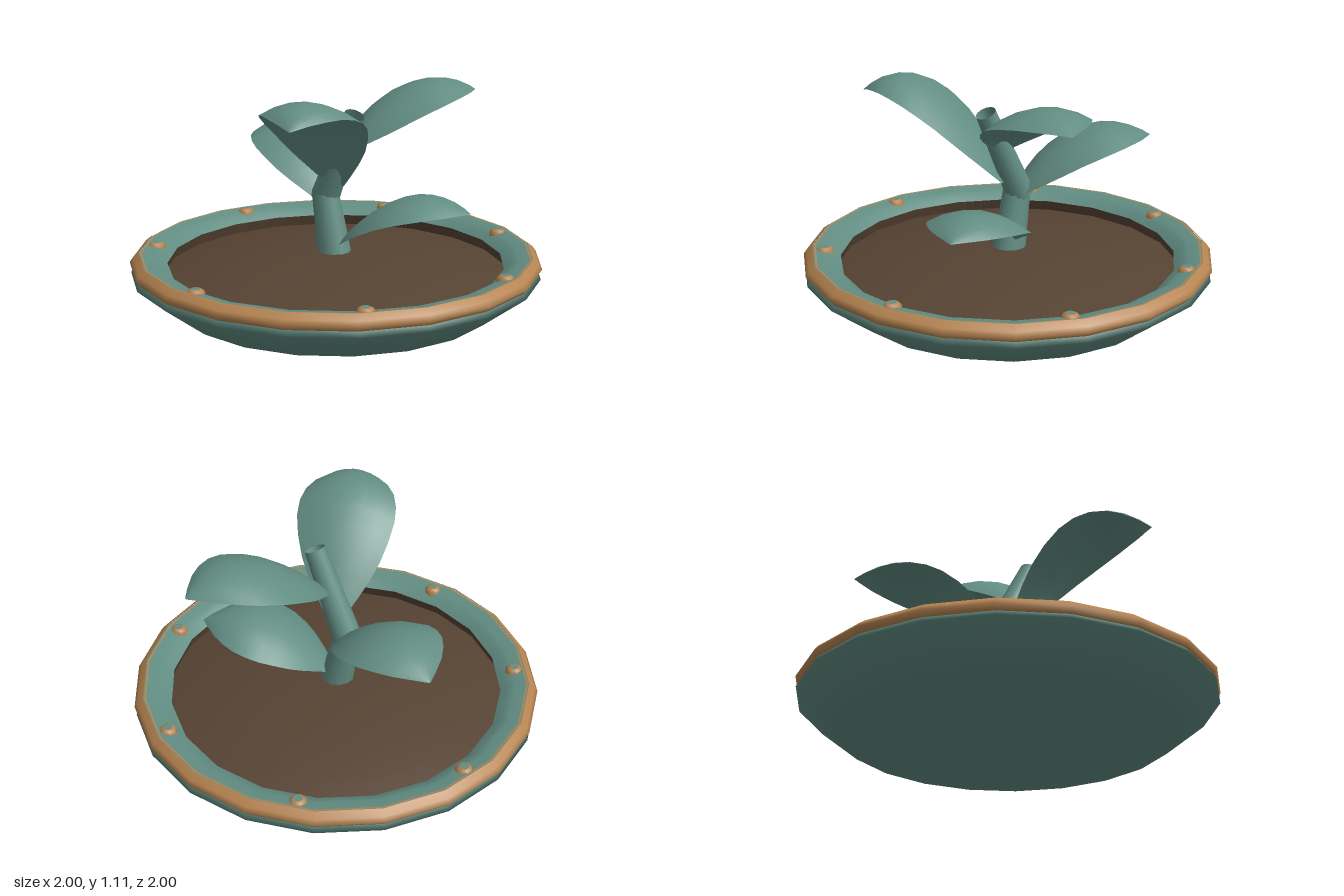
import * as THREE from 'three';

const teal = new THREE.MeshStandardMaterial({ color: 0x628d83, side: THREE.DoubleSide });
teal.name = 'teal';
const copper = new THREE.MeshStandardMaterial({ color: 0xb58350 });
copper.name = 'copper';
const brown = new THREE.MeshStandardMaterial({ color: 0x564333, side: THREE.DoubleSide });
brown.name = 'soil brown';

const V = (x, y, z) => new THREE.Vector3(x, y, z);

function add(parent, name, geometry, material) {
  const mesh = new THREE.Mesh(geometry, material);
  mesh.name = name;
  parent.add(mesh);
  return mesh;
}

function lathe(points, sides = 20) {
  return new THREE.LatheGeometry(points.map(([r, y]) => new THREE.Vector2(r, y)), sides);
}

// Open tapered tube between two points
function addStem(parent, name, a, b, r0, r1) {
  const stem = add(parent, name, new THREE.CylinderGeometry(r1, r0, a.distanceTo(b), 12, 1, true), teal);
  stem.position.copy(a).lerp(b, 0.5);
  stem.quaternion.setFromUnitVectors(V(0, 1, 0), b.clone().sub(a).normalize());
}

// Leaf: an arched midrib with a pointed outline and drooping edges
function leafGeometry(base, tip, y1, y2) {
  const rows = 12, cols = 6;
  const width = new THREE.SplineCurve(
    [[0, 0.035], [0.1, 0.105], [0.26, 0.19], [0.48, 0.24], [0.68, 0.218], [0.86, 0.128], [1, 0.004]]
      .map(([t, w]) => new THREE.Vector2(t, w)));
  const rib = new THREE.CubicBezierCurve3(
    base, base.clone().lerp(tip, 1 / 3).setY(y1), base.clone().lerp(tip, 2 / 3).setY(y2), tip);
  const side = V(tip.z - base.z, 0, base.x - tip.x).normalize();
  const positions = [], index = [];
  for (let i = 0; i <= rows; i++) {
    const { x: t, y: w } = width.getPoint(i / rows);
    const centre = rib.getPoint(Math.min(1, t));
    for (let j = 0; j <= cols; j++) {
      const s = (j / cols) * 2 - 1;
      const p = centre.clone().addScaledVector(side, s * w);
      positions.push(p.x, p.y - s * s * w * 0.33, p.z);
      if (i < rows && j < cols) {
        const a = i * (cols + 1) + j, b = a + cols + 1;
        index.push(a, b, a + 1, b, b + 1, a + 1);
      }
    }
  }
  const geometry = new THREE.BufferGeometry();
  geometry.setAttribute('position', new THREE.Float32BufferAttribute(positions, 3));
  geometry.setIndex(index);
  geometry.computeVertexNormals();
  return geometry;
}

export function createModel() {
  const model = new THREE.Group();
  model.name = 'pottedPlant';

  // Shallow dish, its rounded lip, the copper band round the edge and a thin trim line
  add(model, 'dish', lathe([[0, 0.005], [0.02, 0.005], [0.79, 0.05], [0.995, 0.21], [0.975, 0.24]]), teal);
  add(model, 'rimBand', lathe([[0.97, 0.235], [0.982, 0.236], [1, 0.26], [0.985, 0.282], [0.955, 0.305]]), copper);
  add(model, 'lip', lathe([[0.957, 0.302], [0.89, 0.292], [0.855, 0.275], [0.82, 0.25]]), teal);
  add(model, 'trimLine', lathe([[0.95, 0.303], [0.942, 0.302]]), copper);

  // Domed soil with its inner wall
  add(model, 'innerWall', lathe([[0.82, 0.25], [0.838, 0.195]]), brown);
  add(model, 'soil', lathe([[0.838, 0.195], [0.7, 0.228], [0.5, 0.26], [0.25, 0.284], [0, 0.292]]), brown);

  // Studs round the lip
  for (let i = 0; i < 7; i++) {
    const angle = (i / 7) * Math.PI * 2;
    const stud = new THREE.Group();
    stud.name = 'stud';
    stud.position.set(Math.cos(angle) * 0.892, 0.275, Math.sin(angle) * 0.892);
    add(stud, 'studRing', lathe([[0.044, 0], [0.042, 0.018], [0.034, 0.03], [0.022, 0.036]], 8), copper);
    add(stud, 'studCentre', lathe([[0.022, 0.036], [0, 0.036]], 8), teal);
    model.add(stud);
  }

  // Bent stem
  addStem(model, 'lowerStem', V(-0.005, 0.26, 0), V(-0.065, 0.57, -0.01), 0.083, 0.066);
  addStem(model, 'upperStem', V(-0.075, 0.545, -0.02), V(0.125, 0.98, 0.04), 0.072, 0.05);

  // Leaves: base, tip and the two heights that shape the arch
  const leaves = [
    ['frontLeaf', V(0.01, 0.63, 0.01), V(0.2, 1.02, 0.72), 1.03, 1.25],
    ['backLeaf', V(0.05, 0.8, 0.0), V(0.44, 1.04, -0.62), 1.07, 1.2],
    ['rightLeaf', V(-0.05, 0.54, 0.0), V(-0.63, 0.78, -0.43), 0.84, 0.945],
    ['leftLeaf', V(0.02, 0.335, 0.0), V(0.65, 0.53, -0.14), 0.6, 0.668],
  ];
  for (const [name, base, tip, y1, y2] of leaves) add(model, name, leafGeometry(base, tip, y1, y2), teal);

  return model;
}
